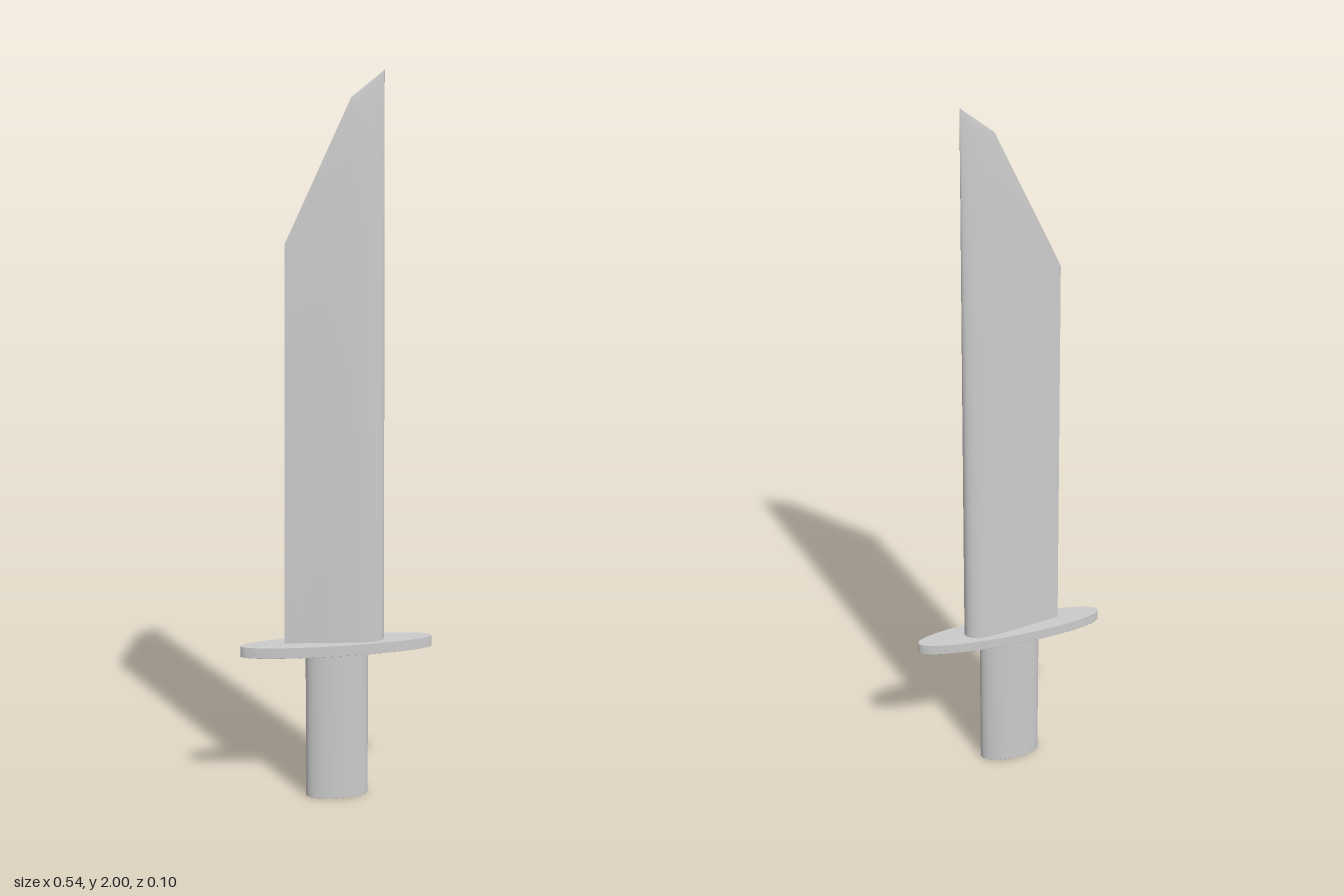
import * as THREE from 'three';

const GUARD_TOP = 0.45;
const material = new THREE.MeshStandardMaterial({ color: 0xcccccc, side: THREE.DoubleSide });

// Height of the clipped blade top above a given x
function bladeTop(x) {
  return x < 0.04
    ? THREE.MathUtils.mapLinear(x, -0.147, 0.04, 1.55, 1.93)
    : THREE.MathUtils.mapLinear(x, 0.04, 0.133, 1.93, 2);
}

// Teardrop section: sharp edge, round the thick spine, back to the edge
function bladeSection() {
  const front = [[-0.147, 0], [-0.08, 0.01], [-0.02, 0.02], [0.04, 0.028],
    [0.08, 0.031], [0.11, 0.027], [0.127, 0.016], [0.133, 0]];
  const back = front.slice(0, -1).reverse().map(([x, z]) => [x, -z]);
  const points = [...front, ...back].map(([x, z]) => new THREE.Vector3(x, 0, z));
  return new THREE.CatmullRomCurve3(points);
}

// Wrap a sheet round the section and thin it towards the top
function bladeGeometry() {
  const section = bladeSection();
  const geometry = new THREE.PlaneGeometry(1, 1, 56, 32);
  const pos = geometry.attributes.position;
  const p = new THREE.Vector3();
  for (let i = 0; i < pos.count; i++) {
    section.getPoint(pos.getX(i) + 0.5, p);
    const v = 1 - (0.5 - pos.getY(i)) ** 2;
    const y = THREE.MathUtils.lerp(GUARD_TOP - 0.01, bladeTop(p.x), v);
    const narrowing = 1 - 0.045 * v;
    pos.setXYZ(i, p.x * narrowing, y, p.z * Math.pow(1 - v, 0.6));
  }
  // Extend the lowest row down to the guard
  geometry.computeVertexNormals();
  return geometry;
}

// Elliptical solid from a lathe profile of [radius fraction, height] pairs
function ellipticSolid(name, profile, rx, rz) {
  const points = [];
  profile.forEach(([r, y], i) => {
    points.push(new THREE.Vector2(r, y));
    // Repeat rim corners so the caps stay crisp
    if (i > 0 && i < profile.length - 1) points.push(new THREE.Vector2(r, y + (i === 1 ? 0.0005 : -0.0005)));
  });
  points.sort((a, b) => a.y - b.y || a.x - b.x);
  if (points[points.length - 1].x > 0) {
    const top = points.findIndex((q, i) => i > 0 && q.x === 0);
    points.push(points.splice(top, 1)[0]);
  }
  const geometry = new THREE.LatheGeometry(points, 64);
  geometry.scale(rx, 1, rz);
  geometry.computeVertexNormals();
  const mesh = new THREE.Mesh(geometry, material);
  mesh.name = name;
  return mesh;
}

export function createModel() {
  const group = new THREE.Group();
  group.name = 'shortSword';

  const blade = new THREE.Mesh(bladeGeometry(), material);
  blade.name = 'blade';

  const guard = ellipticSolid('guard', [[0, 0.42], [1, 0.42], [1, 0.45], [0, 0.45]], 0.27, 0.05);
  const grip = ellipticSolid('grip', [[0, 0], [1, 0], [1, 0.425], [0, 0.425]], 0.088, 0.04);

  group.add(blade, guard, grip);
  return group;
}
